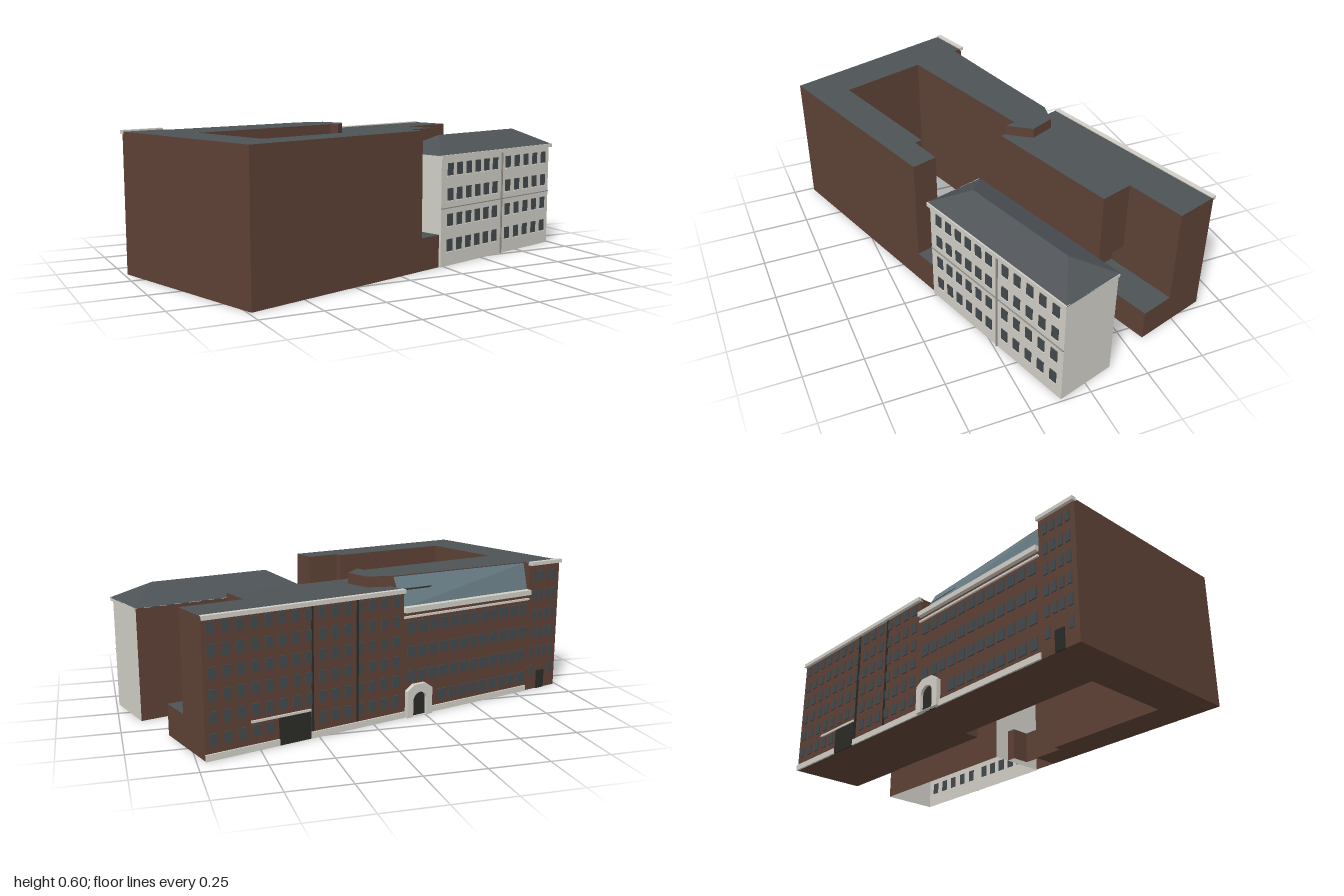
import * as THREE from 'three';
import { mergeGeometries } from 'three/addons/utils/BufferGeometryUtils.js';

const mat = (name, color) => new THREE.MeshStandardMaterial({ name, color, side: THREE.DoubleSide });

export function createModel() {
  const brick = mat('brick', 0x5d4135);
  const stone = mat('pale stone', 0xd0cec6);
  const roof = mat('slate roof', 0x4d5256);
  const glass = mat('skylight glass', 0x667a82);
  const pane = mat('window pane', 0x42494c);
  const dark = mat('dark opening', 0x2a2b27);
  const trim = mat('grey trim', 0x8f8e88);

  const model = new THREE.Group();
  model.name = 'courtyardBuilding';
  // the whole block is turned on its plot; parts are laid out in a straight frame
  const block = new THREE.Group();
  block.name = 'block';
  block.rotation.y = THREE.MathUtils.degToRad(17.4);
  model.add(block);

  const add = (name, geo, material) => {
    const m = new THREE.Mesh(geo, material);
    m.name = name;
    block.add(m);
    return m;
  };
  const boxGeo = (x0, x1, y0, y1, z0, z1) =>
    new THREE.BoxGeometry(x1 - x0, y1 - y0, z1 - z0)
      .translate((x0 + x1) / 2, (y0 + y1) / 2, (z0 + z1) / 2);
  const box = (name, material, ...b) => add(name, boxGeo(...b), material);

  // vertical prism over a plan outline: brick walls and underside, slate top
  function prism(name, plan, y0, y1) {
    const shape = new THREE.Shape(plan.map(([x, z]) => new THREE.Vector2(x, -z)));
    const g = new THREE.ExtrudeGeometry(shape, { depth: y1 - y0, bevelEnabled: false });
    g.rotateX(-Math.PI / 2).translate(0, y0, 0);
    const [lids, sides] = g.groups;
    const half = lids.count / 2;
    g.clearGroups();
    g.addGroup(0, half, 0);
    g.addGroup(half, half, 1);
    g.addGroup(sides.start, sides.count, 0);
    return add(name, g, [brick, roof]);
  }
  const rect = (x0, x1, z0, z1) => [[x0, z0], [x1, z0], [x1, z1], [x0, z1]];

  // quads and triangles from corner lists
  function faces(name, list, material) {
    const p = [];
    for (const f of list)
      for (let i = 1; i < f.length - 1; i++) p.push(...f[0], ...f[i], ...f[i + 1]);
    const g = new THREE.BufferGeometry();
    g.setAttribute('position', new THREE.Float32BufferAttribute(p, 3));
    g.computeVertexNormals();
    return add(name, g, material);
  }

  // grid of thin panes on a wall at depth z; skip(x, y) leaves gaps
  function windows(name, xs, ys, w, h, z, skip = () => false) {
    const list = [];
    for (const x of xs) for (const y of ys)
      if (!skip(x, y)) list.push(boxGeo(x - w / 2, x + w / 2, y - h / 2, y + h / 2, z - 0.003, z + 0.003));
    add(name, mergeGeometries(list), pane);
  }
  const series = (a, b, n) => Array.from({ length: n }, (_, i) => a + (b - a) * i / (n - 1));

  // ---- brick wings round the courtyard
  prism('courtyardWings', [
    [-0.905, -0.41], [-0.72, -0.41], [-0.72, -0.37], [-0.031, -0.33], [0.077, -0.284],
    [0.091, -0.167], [-0.005, -0.095], [-0.005, -0.142], [-0.718, -0.142], [-0.718, 0.253],
    [-0.147, 0.257], [-0.147, 0.29], [0, 0.293], [0, 0.405], [-0.9, 0.405]], 0, 0.59);
  prism('streetRange', rect(-0.72, -0.02, -0.41, -0.32), 0, 0.465);
  prism('eastWing', rect(-0.02, 0.88, -0.41, -0.22), 0, 0.545);
  prism('eastWingUpperRear', rect(-0.01, 0.61, -0.23, -0.072), 0.235, 0.545);
  prism('eastWingLowerRear', rect(-0.01, 0.55, -0.23, -0.075), 0, 0.235);
  prism('lowAnnex', rect(0.54, 0.88, -0.23, -0.07), 0, 0.13);

  // sloping glazed roof with its frame bars
  const glassAt = (x, t) => {
    const k = (x + 0.72) / 0.7;
    return [x, 0.465 + 0.122 * t, -0.4 + (0.03 + 0.035 * k) * t];
  };
  faces('skylight', [[glassAt(-0.02, 0), glassAt(-0.72, 0), glassAt(-0.72, 1), glassAt(-0.02, 1)]], glass);
  faces('skylightBar', [[glassAt(-0.02, 0.55), glassAt(-0.4, 0.55), glassAt(-0.4, 0.6), glassAt(-0.02, 0.6)]
    .map(([x, y, z]) => [x, y + 0.001, z - 0.003])], dark);

  // ---- street front (north side)
  const Z = -0.412;
  const isGate = x => x > 0.41 && x < 0.59;
  windows('eastWingWindows', series(0.845, 0.02, 15), series(0.08, 0.5, 6), 0.031, 0.046, Z,
    (x, y) => y < 0.12 && isGate(x));
  windows('streetRangeWindows', series(-0.06, -0.685, 12), [0.07, 0.175, 0.28, 0.385], 0.041, 0.048, Z,
    (x, y) => y < 0.12 && x > -0.18);
  windows('westTowerWindows', series(-0.755, -0.87, 4), series(0.09, 0.53, 6), 0.022, 0.046, Z,
    (x, y) => y < 0.12 && x < -0.78 && x > -0.85);
  box('towerDoor', dark, -0.835, -0.79, 0, 0.085, -0.415, -0.408);
  box('gate', dark, 0.43, 0.57, 0, 0.11, -0.416, -0.408);
  box('gateBand', stone, 0.43, 0.69, 0.113, 0.122, -0.417, -0.408);
  for (const [x0, x1] of [[-0.72, -0.16], [-0.03, 0.43], [0.57, 0.88]])
    box('plinth', stone, x0, x1, 0, 0.026, -0.417, -0.408);
  for (const x of [0.21, 0.42]) box('downpipe', dark, x - 0.003, x + 0.003, 0.03, 0.53, -0.417, -0.408);

  // cornices along the street front
  box('eastCornice', stone, -0.02, 0.88, 0.532, 0.549, -0.424, -0.402);
  box('rangeCornice', stone, -0.72, -0.02, 0.45, 0.472, -0.428, -0.395);
  box('rangeBand', stone, -0.72, -0.02, 0.425, 0.434, -0.418, -0.408);
  box('towerCornice', stone, -0.907, -0.72, 0.58, 0.596, -0.424, -0.402);

  // arched stone portal
  const surround = new THREE.Shape();
  surround.moveTo(-0.065, 0).lineTo(0.065, 0).lineTo(0.065, 0.115).lineTo(0.03, 0.14)
    .lineTo(-0.03, 0.14).lineTo(-0.065, 0.115).closePath();
  const arch = new THREE.Path();
  arch.moveTo(-0.035, 0.002).lineTo(-0.035, 0.07).absarc(0, 0.07, 0.035, Math.PI, 0, true)
    .lineTo(0.035, 0.002).closePath();
  surround.holes.push(arch);
  add('portal', new THREE.ExtrudeGeometry(surround, { depth: 0.022, bevelEnabled: false, curveSegments: 8 })
    .translate(-0.097, 0, -0.43), stone);
  box('portalDoor', dark, -0.135, -0.059, 0, 0.11, -0.417, -0.409);

  // ---- low link between south wing and pale house
  const wall = (x0, z0, x1, z1, y0, y1) => [[x0, y0, z0], [x1, y0, z1], [x1, y1, z1], [x0, y1, z0]];
  faces('linkWalls', [wall(0, 0.405, 0.11, 0.405, 0, 0.14), wall(0.07, 0.3, 0, 0.3, 0, 0.14),
    wall(0.07, 0.22, 0.07, 0.3, 0, 0.14), wall(0.11, 0.22, 0.07, 0.22, 0, 0.14)], brick);
  box('linkRoof', roof, 0, 0.11, 0.136, 0.141, 0.3, 0.405);
  box('linkRoofRear', roof, 0.07, 0.11, 0.136, 0.141, 0.22, 0.3);

  // ---- pale house: shell open below, brick at the back
  const [w, e, n, s] = [0.113, 0.908, 0.15, 0.413];
  faces('houseWalls', [wall(w, s, e, s, 0, 0.475), wall(e, s, e, n, 0, 0.475),
    wall(w, n, w, s, 0, 0.475)], stone);
  faces('houseBackWall', [wall(e, n, w, n, 0, 0.475)], brick);
  const cols = [...series(0.17, 0.484, 6), ...series(0.58, 0.86, 5)];
  const rows = [0.09, 0.2, 0.31, 0.418];
  windows('houseWindows', cols, rows, 0.035, 0.052, s + 0.001);
  const sills = [];
  for (const y of rows) for (const x of cols)
    sills.push(boxGeo(x - 0.021, x + 0.021, y - 0.034, y - 0.029, s, s + 0.005));
  add('houseSills', mergeGeometries(sills), stone);
  box('houseBand', trim, w, e, 0.25, 0.254, s, s + 0.004);
  box('houseDownpipe', trim, 0.531, 0.537, 0, 0.47, s, s + 0.006);
  box('houseCornice', stone, w - 0.008, e + 0.008, 0.464, 0.48, s - 0.01, s + 0.012);
  for (const x of [w, e]) box('houseEndCornice', stone, x - 0.007, x + 0.007, 0.466, 0.479, n, s);

  // hipped roof
  const A = [0.102, 0.478, 0.422], B = [0.918, 0.478, 0.422], C = [0.914, 0.478, 0.145],
    D = [0.107, 0.478, 0.145], R1 = [0.238, 0.552, 0.288], R2 = [0.78, 0.552, 0.288];
  faces('hippedRoof', [[A, B, R2, R1], [B, C, R2], [C, D, R1, R2], [D, A, R1]], roof);

  return model;
}
